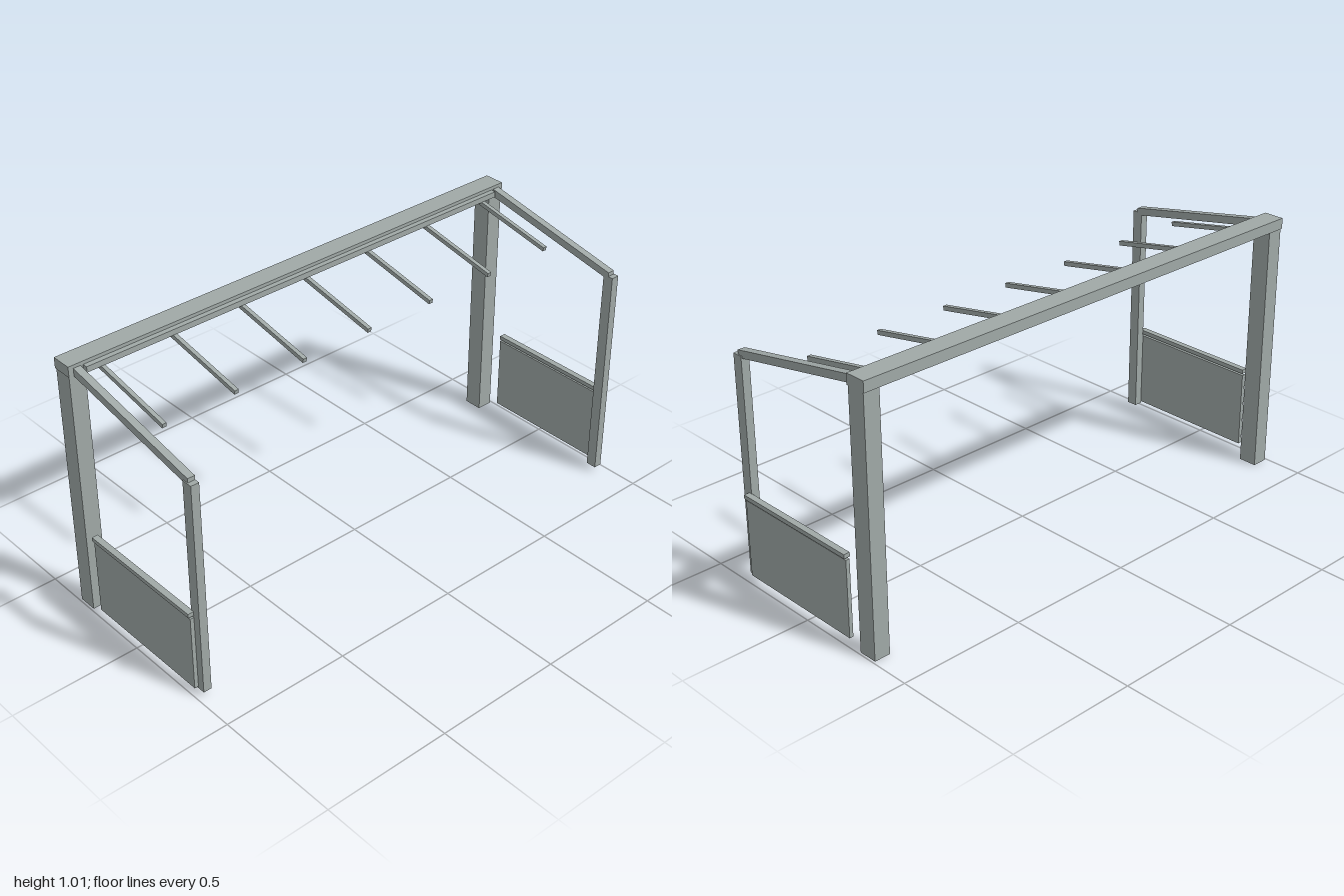
import * as THREE from 'three';

export function createModel() {
  const model = new THREE.Group();
  model.name = 'pergolaFrame';
  const paint = new THREE.MeshStandardMaterial({ color: 0xa0a9a7 });
  paint.name = 'greyPaint';

  // box given by its min and max on each axis
  function box(name, [x0, x1], [y0, y1], [z0, z1]) {
    const mesh = new THREE.Mesh(new THREE.BoxGeometry(x1 - x0, y1 - y0, z1 - z0), paint);
    mesh.position.set((x0 + x1) / 2, (y0 + y1) / 2, (z0 + z1) / 2);
    mesh.name = name;
    model.add(mesh);
  }

  // sloping bar: side profile of [z, y] points, extruded across x
  function bar(name, x0, x1, profile) {
    const shape = new THREE.Shape(profile.map(([z, y]) => new THREE.Vector2(-z, y)));
    const geometry = new THREE.ExtrudeGeometry(shape, { depth: x1 - x0, bevelEnabled: false });
    geometry.rotateY(Math.PI / 2);
    geometry.translate(x0, 0, 0);
    const mesh = new THREE.Mesh(geometry, paint);
    mesh.name = name;
    model.add(mesh);
  }

  // back beam and the ledger that carries the joists
  box('backBeam', [-0.993, 0.993], [0.969, 1.01], [-0.348, -0.267]);
  box('ledger', [-0.936, 0.936], [0.975, 0.997], [-0.267, -0.247]);

  // both ends, mirrored
  for (const side of [1, -1]) {
    const label = side > 0 ? 'left' : 'right';
    const span = (a, b) => (side > 0 ? [a, b] : [-b, -a]);
    box(label + 'BackPost', span(0.928, 0.991), [0, 0.969], [-0.343, -0.27]);
    box(label + 'FrontPost', span(0.946, 0.978), [0.022, 0.866], [0.307, 0.349]);
    box(label + 'SidePanel', span(0.978, 0.993), [0.03, 0.328], [-0.218, 0.32]);
    box(label + 'PanelRail', span(0.976, 1), [0.336, 0.352], [-0.218, 0.32]);
    bar(label + 'Rafter', ...span(0.946, 0.974),
      [[0.329, 0.853], [0.329, 0.882], [-0.27, 0.998], [-0.27, 0.968]]);
  }

  // sloping joists, evenly spaced
  for (let i = -3; i <= 3; i++) {
    const x = i * 0.291;
    bar('joist', x - 0.008, x + 0.008,
      [[0.076, 0.897], [0.079, 0.913], [-0.267, 0.98], [-0.267, 0.963]]);
  }
  return model;
}
